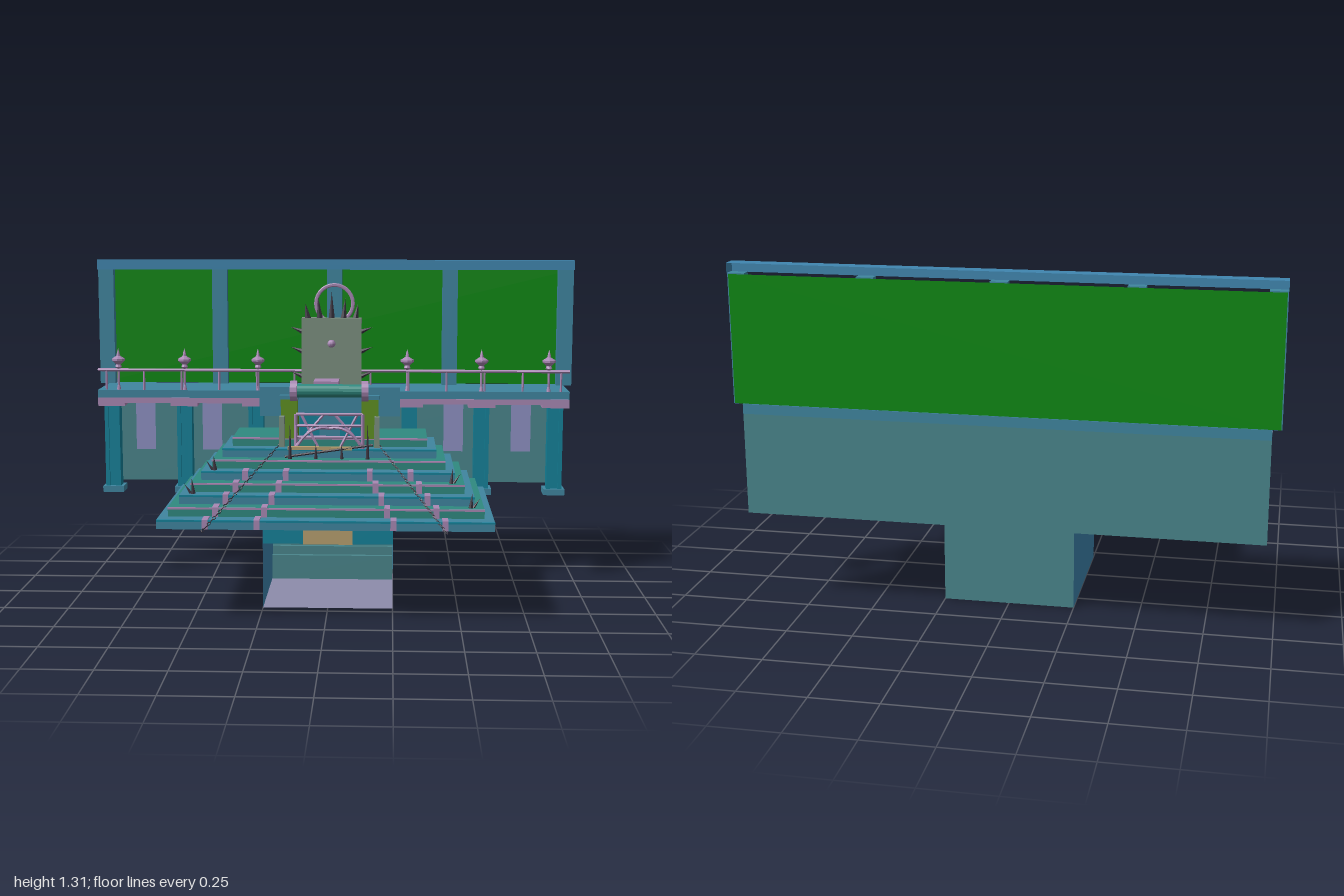
import * as THREE from 'three';

const mat = (color, side = THREE.FrontSide) =>
  new THREE.MeshStandardMaterial({ color, flatShading: true, side });

export function createModel() {
  const root = new THREE.Group();
  const teal = mat(0x3f86a0), deep = mat(0x14829a), sea = mat(0x2f8a80);
  const green = mat(0x0a8810, THREE.DoubleSide), wallTeal = mat(0x4a868c, THREE.DoubleSide);
  const open = mat(0x3f86b0, THREE.DoubleSide), floor = mat(0x8d8cab, THREE.DoubleSide);
  const pink = mat(0xa988b4), banner = mat(0x8f92c4, THREE.DoubleSide);
  const olive = mat(0x7c9080), moss = mat(0x5f9020), dark = mat(0x3a3440), gold = mat(0xb8a070);

  const add = (name, geo, m, x = 0, y = 0, z = 0) => {
    const mesh = new THREE.Mesh(geo, m);
    mesh.name = name;
    mesh.position.set(x, y, z);
    root.add(mesh);
    return mesh;
  };
  // Box given by its limits on each axis
  const box = (name, m, x0, x1, y0, y1, z0, z1) =>
    add(name, new THREE.BoxGeometry(x1 - x0, y1 - y0, z1 - z0), m, (x0 + x1) / 2, (y0 + y1) / 2, (z0 + z1) / 2);
  // Round bar between two points
  const rod = (name, m, a, b, r, sides = 6) => {
    const p = new THREE.Vector3(...a), q = new THREE.Vector3(...b);
    const mesh = add(name, new THREE.CylinderGeometry(r, r, p.distanceTo(q), sides), m);
    mesh.position.copy(p).add(q).multiplyScalar(0.5);
    mesh.quaternion.setFromUnitVectors(new THREE.Vector3(0, 1, 0), q.sub(p).normalize());
  };
  const cone = (name, x, y, z, r, h, tilt = 0) => {
    const geo = new THREE.ConeGeometry(r, h, 6).translate(0, h / 2, 0);
    add(name, geo, dark, x, y, z).rotation.z = tilt;
  };
  const sides = [-1, 1];

  // Foundation pit, open at the front, with stairs at its rear
  add('foundationFloor', new THREE.PlaneGeometry(0.5, 0.55).rotateX(-Math.PI / 2), floor, 0, 0, -0.07);
  add('foundationBack', new THREE.PlaneGeometry(0.5, 0.362), wallTeal, 0, 0.181, -0.345);
  for (const s of sides)
    add('foundationSide', new THREE.PlaneGeometry(0.55, 0.362).rotateY(s * Math.PI / 2), open, s * 0.25, 0.181, -0.07);
  [0.1, 0.135, 0.165, 0.2, 0.23].forEach((y, i) =>
    box('pitStair', wallTeal, -0.249, 0.249, i ? y - 0.035 : 0, y, -0.344, -0.24 - 0.02 * i));

  // Side bolts, bars and the hatch below the terrace
  for (const z of [0.065, 0.02, -0.12])
    for (const s of sides) rod('foundationBolt', teal, [s * 0.245, 0.32, z], [s * 0.265, 0.32, z], 0.021);
  box('hatch', gold, -0.095, 0.095, 0.25, 0.355, 0.195, 0.203);
  for (const s of sides) {
    add('hatchSide', new THREE.BoxGeometry(0.155, 0.105, 0.01), deep, s * 0.172, 0.305, 0.198);
    add('underBar', new THREE.BoxGeometry(0.02, 0.014, 0.45), teal, s * 0.262, 0.354, -0.06);
  }

  // Stepped terrace, every second lip trimmed
  const STEPS = 8;
  const step = i => ({ hw: 0.62 - 0.034 * i, top: 0.396 + 0.0342 * i, front: 0.453 - 0.0622 * i });
  for (let i = 0; i < STEPS; i++) {
    const { hw, top, front } = step(i);
    box('terraceStep', i % 2 ? sea : teal, -hw, hw, i ? top - 0.0345 : 0.361, top, -0.245, front);
    box('stepLip', i % 2 ? pink : deep, -hw, hw, top - 0.006, top + 0.001, front, front + 0.007);
  }

  // Spikes at the step corners, alternating sides
  for (let i = 1; i < 5; i++) {
    const { hw, top, front } = step(i), s = i % 2 ? 1 : -1;
    cone('stepSpike', s * (hw - 0.05), top, front - 0.03, 0.009, 0.058, -s * 0.1);
    cone('stepSpike', s * (hw - 0.04), top, front - 0.035, 0.006, 0.045, -s * 0.6);
  }

  for (const s of sides) {
    // Ribbons running down the stairs
    for (const [near, far] of [[0.16, 0.25], [0.315, 0.44]]) {
      for (let i = 0; i < 5; i++) {
        const { top, front } = step(i);
        const x = s * (far + (near - far) * (i / 4));
        add('ribbonTread', new THREE.BoxGeometry(0.022, 0.004, 0.064), pink, x, top + 0.002, front - 0.027);
        add('ribbonRiser', new THREE.BoxGeometry(0.022, 0.036, 0.004), pink, x, top - 0.015, front + 0.006);
      }
    }
    // Chains lying over the step lips
    const a = new THREE.Vector3(s * 0.18, 0.628, 0.03), b = new THREE.Vector3(s * 0.445, 0.366, 0.515);
    const dir = b.clone().sub(a).normalize();
    for (let i = 0; i < 32; i++) {
      const p = a.clone().lerp(b, (i + 0.5) / 32);
      const link = add('chainLink', new THREE.TorusGeometry(0.005, 0.0016, 4, 6), dark, p.x, p.y, p.z);
      link.scale.x = 2;
      link.quaternion.setFromUnitVectors(new THREE.Vector3(1, 0, 0), dir);
      link.rotateX((i % 2) * Math.PI / 2);
    }
  }

  // Balcony slab, lower back wall and upper panelled wall
  box('balconySlab', teal, -0.965, 0.965, 0.75, 0.788, -0.518, -0.247);
  box('balconyTrim', pink, -0.965, 0.965, 0.735, 0.757, -0.262, -0.244);
  add('lowerWall', new THREE.PlaneGeometry(1.93, 0.387), wallTeal, 0, 0.557, -0.517);
  add('wallPanel', new THREE.PlaneGeometry(1.99, 0.482), green, 0, 1.03, -0.517);
  for (let i = -2; i <= 2; i++) {
    const x = Math.sign(i) * [0, 0.485, 0.967][Math.abs(i)];
    box('wallPilaster', teal, x - 0.032, x + 0.032, 0.788, 1.275, -0.516, -0.478);
  }
  add('topBeamFront', new THREE.PlaneGeometry(2, 0.04), open, 0, 1.292, -0.465);
  add('topBeamTop', new THREE.PlaneGeometry(2, 0.055).rotateX(-Math.PI / 2), open, 0, 1.312, -0.4925);
  for (const s of sides)
    add('topBeamEnd', new THREE.PlaneGeometry(0.055, 0.04).rotateY(s * Math.PI / 2), open, s, 1.292, -0.4925);

  // Flat ring on the middle pilaster
  add('wallRing', new THREE.TorusGeometry(0.078, 0.008, 6, 28), pink, 0, 1.13, -0.477).scale.z = 0.3;

  // Columns under each lamp, and banners between them
  for (const s of sides) {
    for (const x of [0.315, 0.61, 0.91]) {
      box('columnBase', teal, s * x - 0.043, s * x + 0.043, 0.361, 0.386, -0.33, -0.247);
      box('columnCapital', pink, s * x - 0.055, s * x + 0.055, 0.722, 0.75, -0.315, -0.245);
      box('columnCore', deep, s * x - 0.02, s * x + 0.02, 0.386, 0.722, -0.295, -0.262);
      for (const e of sides) {
        const c = s * x + e * 0.023;
        box('columnRib', deep, c - 0.008, c + 0.008, 0.386, 0.722, -0.305, -0.252);
      }
    }
    for (const x of [0.495, 0.77])
      add('banner', new THREE.PlaneGeometry(0.08, 0.205), banner, s * x, 0.643, -0.255);
  }

  // Railing with lamp finials
  rod('handRail', pink, [-0.965, 0.87, -0.258], [0.965, 0.87, -0.258], 0.007);
  for (let i = -6; i <= 6; i++) rod('railPost', pink, [i * 0.155, 0.788, -0.258], [i * 0.155, 0.87, -0.258], 0.005);
  const lampProfile = [[0, 0], [0.009, 0], [0.005, 0.02], [0.005, 0.085], [0.014, 0.095], [0.01, 0.105],
    [0.027, 0.12], [0.027, 0.128], [0.008, 0.14], [0.005, 0.155], [0, 0.172]].map(p => new THREE.Vector2(...p));
  for (const s of sides) for (const x of [0.305, 0.607, 0.88])
    add('railLamp', new THREE.LatheGeometry(lampProfile, 8), pink, s * x, 0.788, -0.26);

  // Throne body: rear seat block, side piers and wide shoulder beam
  box('seatBlock', olive, -0.118, 0.118, 0.63, 0.81, -0.2, -0.05);
  box('shoulderBeam', teal, -0.275, 0.275, 0.72, 0.835, -0.06, 0.01);
  box('seatFront', deep, -0.12, 0.12, 0.63, 0.8, -0.05, 0.005);
  box('seatNiche', teal, -0.04, 0.04, 0.635, 0.8, 0.0, 0.02);
  for (const s of sides) {
    add('sidePier', new THREE.BoxGeometry(0.065, 0.155, 0.095), moss, s * 0.158, 0.712, -0.012);
    add('pierCap', new THREE.BoxGeometry(0.075, 0.016, 0.105), teal, s * 0.158, 0.797, -0.012);
    add('pierStrut', new THREE.BoxGeometry(0.02, 0.12, 0.03), olive, s * 0.185, 0.665, 0.05);
  }
  box('canopyBox', pink, -0.062, 0.035, 0.81, 0.86, -0.065, 0.04);

  // Roller across the front
  rod('roller', sea, [-0.15, 0.825, 0.045], [0.15, 0.825, 0.045], 0.026, 14);
  for (const s of sides) rod('rollerCap', pink, [s * 0.125, 0.825, 0.045], [s * 0.152, 0.825, 0.045], 0.04, 14);

  // Tall spiked backrest
  box('backrest', olive, -0.12, 0.12, 0.79, 1.092, -0.209, -0.156);
  for (let i = -2; i <= 2; i++)
    cone('crownSpike', i * 0.048, 1.09, -0.182, 0.014, 0.105 - 0.022 * Math.abs(i), -i * 0.08);
  for (const s of sides) for (const y of [1.045, 0.965, 0.865])
    cone('sideSpike', s * 0.118, y - 0.008, -0.18, 0.011, 0.05, -s * 1.2);
  add('backrestKnob', new THREE.SphereGeometry(0.016, 10, 8), pink, 0, 0.99, -0.156);

  // Pipe lattice in front of the seat
  for (const y of [0.645, 0.69, 0.735]) rod('latticeBar', pink, [-0.13, y, 0.06], [0.13, y, 0.06], 0.006);
  for (const s of sides) {
    rod('latticePost', pink, [s * 0.13, 0.6, 0.06], [s * 0.13, 0.735, 0.06], 0.008);
    rod('latticeBrace', pink, [s * 0.13, 0.61, 0.065], [s * 0.02, 0.735, 0.055], 0.006);
    rod('latticeBrace', pink, [s * 0.04, 0.6, 0.065], [s * 0.11, 0.735, 0.055], 0.006);
    const arc = new THREE.QuadraticBezierCurve3(new THREE.Vector3(0, 0.68, 0.065),
      new THREE.Vector3(s * 0.08, 0.7, 0.08), new THREE.Vector3(s * 0.13, 0.6, 0.075));
    add('latticeArc', new THREE.TubeGeometry(arc, 10, 0.006, 6), pink);
  }

  // Gold threshold with a row of small dark stakes
  box('threshold', gold, -0.16, 0.09, 0.6, 0.612, 0.078, 0.1);
  for (let i = 0; i < 4; i++) cone('thresholdStake', -0.15 + i * 0.1, 0.568, 0.11, 0.008, i % 3 ? 0.06 : 0.14);
  rod('thresholdBar', dark, [-0.17, 0.575, 0.11], [0.17, 0.62, 0.09], 0.005);
  return root;
}
